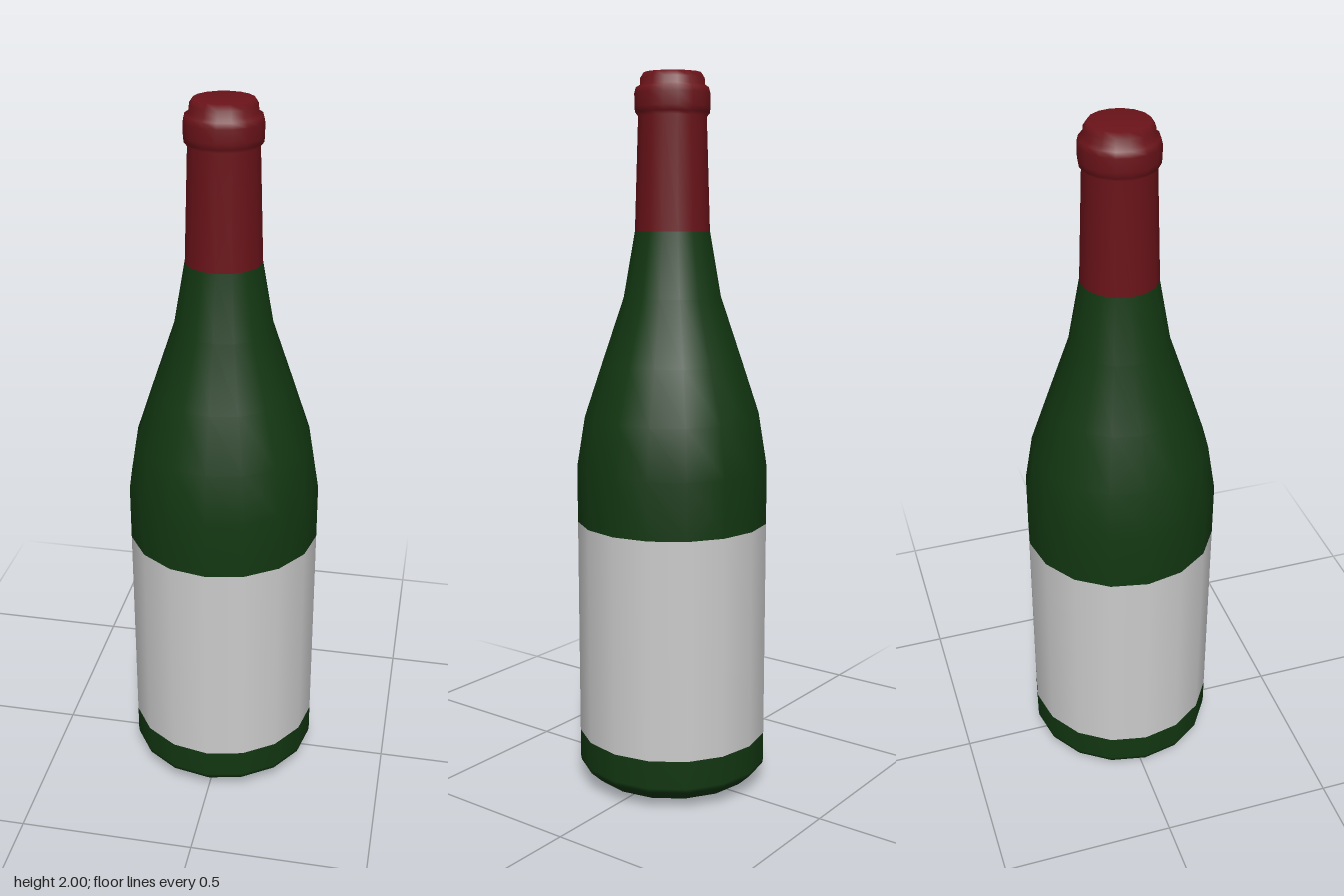
import * as THREE from 'three';

const SIDES = 16;

// Revolve a bottom-to-top list of [radius, height] pairs
function turned(name, color, profile) {
  const points = profile.map(([r, y]) => new THREE.Vector2(r, y));
  const mesh = new THREE.Mesh(
    new THREE.LatheGeometry(points, SIDES),
    new THREE.MeshStandardMaterial({ color, side: THREE.DoubleSide })
  );
  mesh.name = name;
  return mesh;
}

export function createModel() {
  const bottle = new THREE.Group();
  bottle.name = 'bottle';

  // Base with rounded heel, and lower wall up to the label
  const lowerGlass = turned('lowerGlass', 0x123711, [
    [0, 0.005], [0.15, 0.005], [0.235, 0.027], [0.268, 0.058], [0.27, 0.07], [0.27, 0.15],
  ]);

  // Paper band wrapped all the way round
  const label = turned('label', 0xcccccc, [[0.27, 0.15], [0.27, 0.77]]);

  // Upper wall, sloping shoulder and neck
  const upperGlass = turned('upperGlass', 0x123711, [
    [0.27, 0.77], [0.27, 0.93], [0.247, 1.07], [0.197, 1.22], [0.136, 1.4], [0.104, 1.58],
  ]);

  // Foil sleeve, swelling over the lip and closed on top
  const foil = turned('foil', 0x6a1319, [
    [0.104, 1.58], [0.094, 1.885], [0.102, 1.895], [0.104, 1.91], [0.104, 1.945],
    [0.1, 1.96], [0.089, 1.967], [0.088, 1.985], [0.078, 2], [0, 2],
  ]);

  bottle.add(lowerGlass, label, upperGlass, foil);
  // Rest the base on the ground
  lowerGlass.geometry.attributes.position.array.forEach((v, i, a) => {
    if (i % 3 === 1 && v < 0.01) a[i] = 0;
  });
  return bottle;
}
